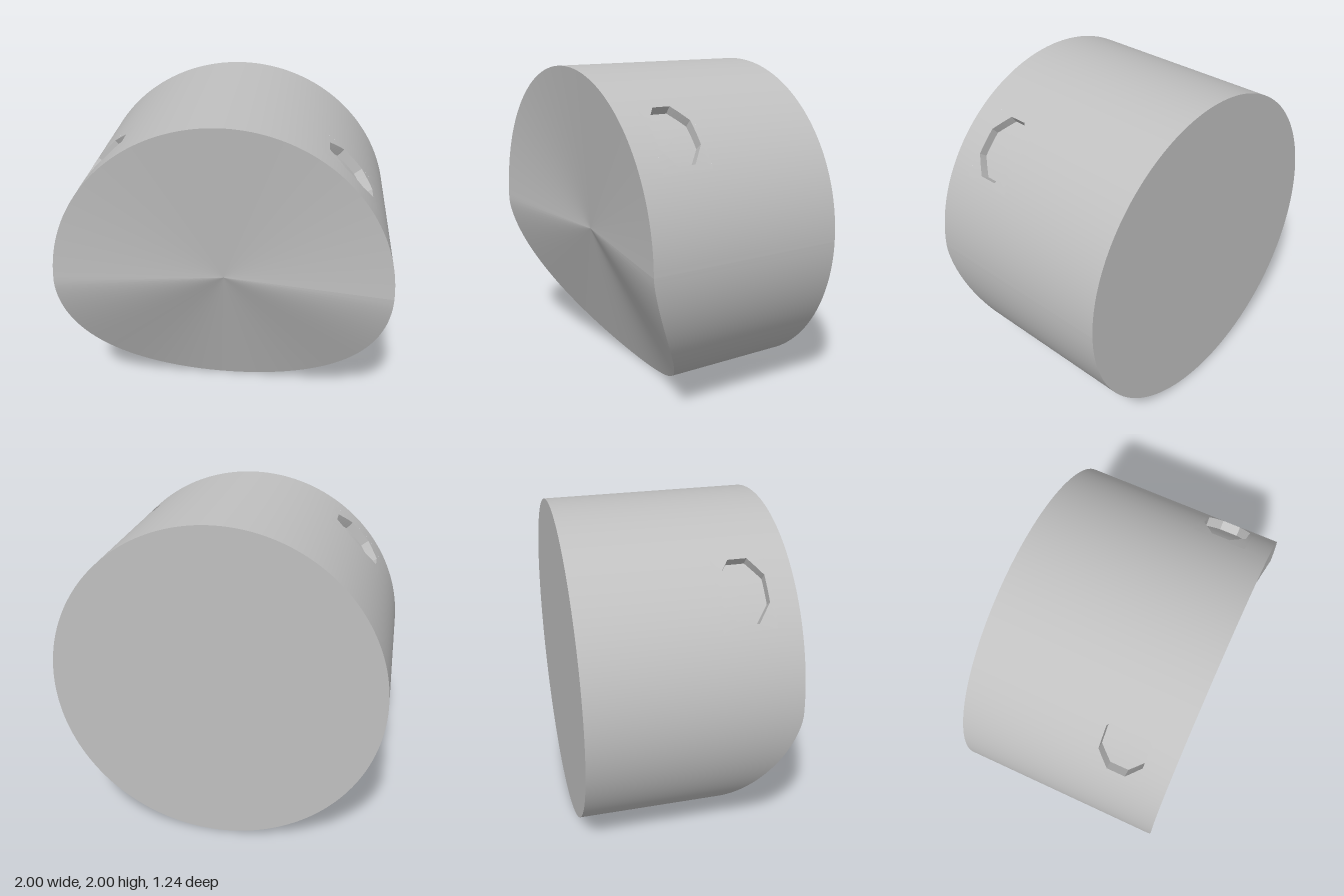
import * as THREE from 'three';

const DEG = Math.PI / 180;
const BACK = -0.62, FRONT = 0.62, DROP = 0.53, HUB = 0.475;
const DENT = { angle: 43, z: 0.325, depth: 0.055 };

// point on a cylinder lying along z (angle in degrees)
const polar = (deg, z, r = 1) => [r * Math.cos(deg * DEG), 1 + r * Math.sin(deg * DEG), z];

// front edge: level over the top half, sweeping back underneath
const rim = (deg) => FRONT - DROP * Math.pow(Math.max(0, -Math.sin(deg * DEG)), 1.5);

// surface from a rule point(i, j), with optional skipped cells
function grid(nu, nv, point, { skip = () => false, flat = false } = {}) {
  const pos = [], index = [];
  for (let i = 0; i <= nu; i++) for (let j = 0; j <= nv; j++) pos.push(...point(i, j));
  for (let i = 0; i < nu; i++) {
    for (let j = 0; j < nv; j++) {
      if (skip(i, j)) continue;
      const a = i * (nv + 1) + j, b = a + nv + 1;
      index.push(a, b, b + 1, a, b + 1, a + 1);
    }
  }
  let g = new THREE.BufferGeometry();
  g.setAttribute('position', new THREE.Float32BufferAttribute(pos, 3));
  g.setIndex(index);
  if (flat) g = g.toNonIndexed();
  g.computeVertexNormals();
  return g;
}

export function createModel() {
  const group = new THREE.Group();
  const grey = new THREE.MeshStandardMaterial({ color: 0xc0c0c0 });
  grey.name = 'grey';
  const add = (name, geometry, parent = group) => {
    const mesh = new THREE.Mesh(geometry, grey);
    mesh.name = name;
    parent.add(mesh);
  };

  // round side wall, with a window left open for each dent
  const N = 180, step = 360 / N;
  const rows = [BACK, DENT.z - 0.155, DENT.z + 0.155, FRONT];
  add('sideWall', grid(N, 3, (i, j) => {
    const f = (rows[j] - BACK) / (FRONT - BACK);
    return polar(i * step, BACK + f * (rim(i * step) - BACK));
  }, {
    skip: (i, j) => {
      const mid = (i + 0.5) * step;
      return j === 1 && [DENT.angle, 180 - DENT.angle].some((a) => Math.abs(mid - a) < 13);
    },
  }));

  // front face: sloping fan from the rim to a sunken middle
  add('frontFace', grid(N, 1, (i, j) => (j ? [0, 1, HUB] : polar(i * step, rim(i * step)))));

  // flat back
  add('backFace', grid(N, 1, (i, j) => polar(i * step, BACK, j)));

  // shallow octagonal dents on both shoulders
  for (const [name, angle] of [['leftDent', DENT.angle], ['rightDent', 180 - DENT.angle]]) {
    const dent = new THREE.Group();
    dent.name = name;
    group.add(dent);
    const M = 48, E = Math.PI / 8;
    const square = (i) => {
      const p = (i / M) * 2 * Math.PI, c = Math.cos(p), s = Math.sin(p);
      const k = Math.max(Math.abs(c), Math.abs(s));
      return [(13 * c) / k, (0.155 * s) / k];
    };
    const octagon = (i) => {
      const p = (i / M) * 2 * Math.PI;
      const k = 1 / Math.cos(((p + E) % (2 * E)) - E);
      return [11 * k * Math.cos(p), 0.132 * k * Math.sin(p)];
    };
    const place = ([a, z], r) => polar(angle + a, DENT.z + z, r);
    const low = 1 - DENT.depth;

    add('dentSurround', grid(M, 2, (i, j) => {
      const s = square(i), o = octagon(i), t = j / 2;
      return place([s[0] + (o[0] - s[0]) * t, s[1] + (o[1] - s[1]) * t], 1);
    }), dent);
    add('dentWall', grid(M, 1, (i, j) => place(octagon(i), j ? low : 1), { flat: true }), dent);
    add('dentFloor', grid(M, 6, (i, j) => {
      const o = octagon(i), t = 1 - j / 6;
      return place([o[0] * t, o[1] * t], low);
    }), dent);
  }
  return group;
}
